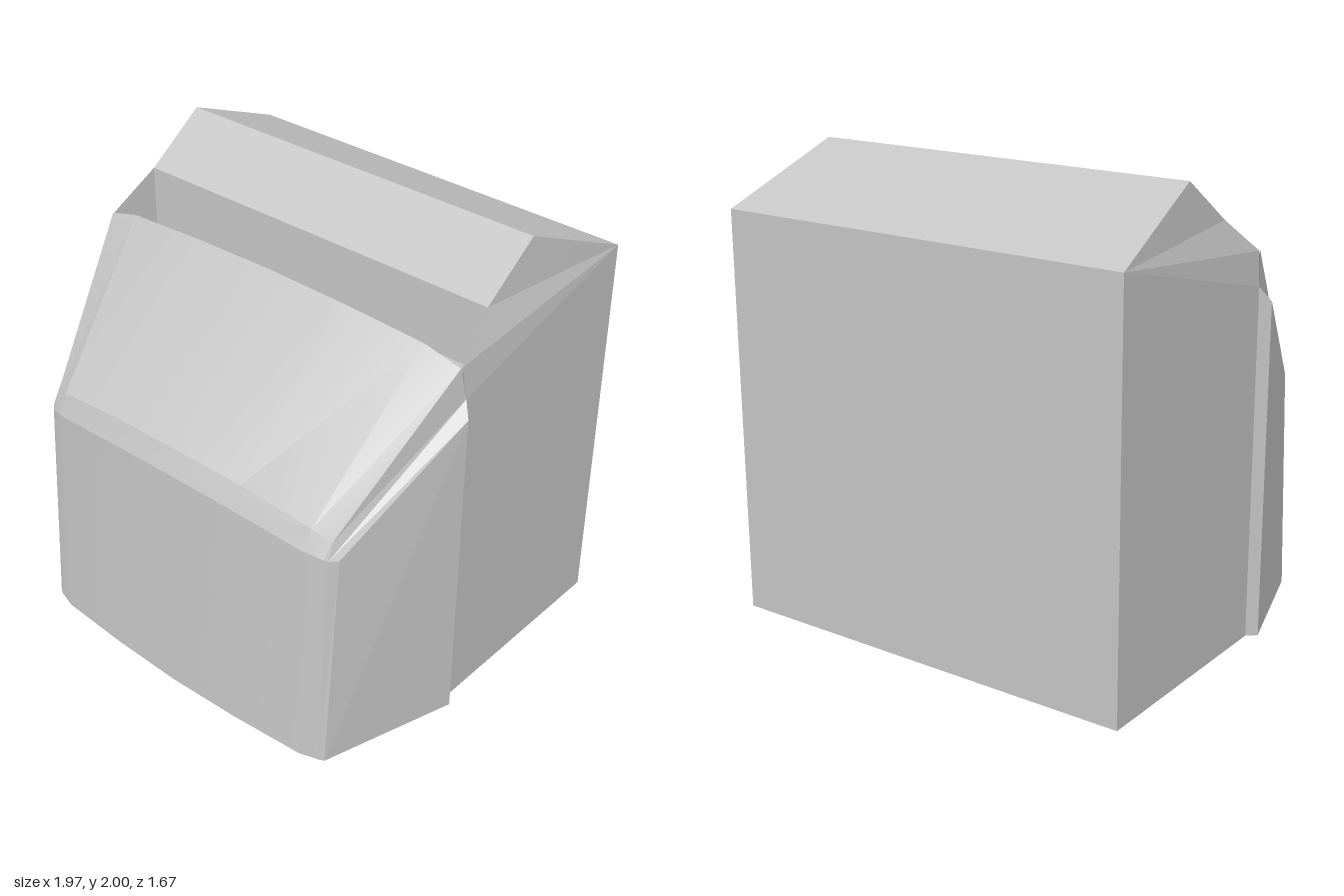
import * as THREE from 'three';
import { toCreasedNormals, mergeVertices } from 'three/addons/utils/BufferGeometryUtils.js';

const grey = new THREE.MeshStandardMaterial({ color: 0xc4c4c4, side: THREE.DoubleSide });
grey.name = 'light grey';

// Turns convex polygons (lists of [x, y, z]) into a surface of triangle fans.
function surface(polygons, crease = 0.05) {
  const positions = [];
  for (const p of polygons)
    for (let i = 1; i < p.length - 1; i++) positions.push(...p[0], ...p[i], ...p[i + 1]);
  let g = new THREE.BufferGeometry();
  g.setAttribute('position', new THREE.Float32BufferAttribute(positions, 3));
  g = mergeVertices(g, 1e-4);
  return toCreasedNormals(g, crease);
}

const mirror = (polygon) => polygon.map(([x, y, z]) => [-x, y, z]).reverse();
const withMirror = (polygons) => [...polygons, ...polygons.map(mirror)];
// Polygon spanning the full width between two edge points.
const across = (a, b) => [a, b, [-b[0], b[1], b[2]], [-a[0], a[1], a[2]]];

export function createModel() {
  const group = new THREE.Group();
  const add = (name, geometry, x = 0, y = 0, z = 0) => {
    const mesh = new THREE.Mesh(geometry, grey);
    mesh.name = name;
    mesh.position.set(x, y, z);
    group.add(mesh);
    return mesh;
  };

  // Key points of the left half
  const backLow = [0.945, 0.015, -0.835], backHigh = [0.945, 1.77, -0.835];
  const ridge = [0.885, 2, -0.305], slotBack = [0.885, 1.81, -0.035];
  const slotFront = [0.93, 1.66, 0.165], seamHigh = [0.945, 1.52, 0.15], seamLow = [0.945, 0.015, 0.15];
  const floorY = 1.5;
  const floorBack = [0.885, floorY, -0.035], floorFront = [0.93, floorY, 0.165];

  // Rear housing, open underneath
  add('rearHousing', surface([
    across(backHigh, backLow),
    across(ridge, backHigh),
    across(slotBack, ridge),
    ...withMirror([
      [backLow, backHigh, seamHigh, seamLow],
      [backHigh, ridge, slotBack],
      [backHigh, slotBack, slotFront],
      [backHigh, slotFront, seamHigh],
    ]),
  ]));

  // Recess between the housing and the front panel
  add('recess', surface([
    across(slotBack, floorBack),
    across(floorBack, floorFront),
    ...withMirror([[slotBack, slotFront, floorFront, floorBack]]),
  ]));

  // Bowed front panel: rows from the bottom to the inner lip, columns from centre to corner
  const rows = [
    [[0, 0, 0.835], [0.35, 0, 0.825], [0.69, 0, 0.802], [0.775, 0, 0.775]],
    [[0, 1.07, 0.8], [0.33, 1.057, 0.79], [0.67, 1.02, 0.762], [0.755, 1.005, 0.735]],
    [[0, 1.165, 0.755], [0.34, 1.155, 0.745], [0.685, 1.11, 0.722], [0.765, 1.07, 0.695]],
    [[0, 1.745, 0.205], [0.38, 1.735, 0.2], [0.77, 1.71, 0.19], [0.93, 1.66, 0.175]],
    [[0, 1.72, 0.183], [0.38, 1.71, 0.18], [0.77, 1.69, 0.172], [0.93, 1.645, 0.165]],
    [[0, floorY, 0.17], [0.38, floorY, 0.17], [0.77, floorY, 0.168], [0.93, floorY, 0.165]],
  ];
  const panel = [];
  for (let r = 0; r < rows.length - 1; r++)
    for (let c = 0; c < 3; c++)
      panel.push([rows[r][c], rows[r][c + 1], rows[r + 1][c + 1], rows[r + 1][c]]);
  add('frontPanel', surface(withMirror(panel), 0.3));

  // Side cheeks with the sloping ledge and the step back to the housing
  const corner = rows.map((row) => row[3]);
  const ledgeLow = [0.77, 1.0, 0.725];
  const cheekBottom = [0.795, 0, 0.765], cheekTop = [0.8, 1.0, 0.695];
  const cheekRear = [0.985, 1.46, 0.185], cheekRearLow = [0.985, 0.015, 0.185];
  add('sideCheeks', surface(withMirror([
    [cheekBottom, cheekRearLow, cheekRear, cheekTop],
    [corner[0], cheekBottom, cheekTop, ledgeLow],
    [corner[0], ledgeLow, corner[1]],
    [cheekRearLow, seamLow, seamHigh, cheekRear],
  ])));
  add('sideLedges', surface(withMirror([
    [ledgeLow, cheekTop, cheekRear, seamHigh],
    [corner[1], ledgeLow, corner[2]],
    [corner[2], ledgeLow, seamHigh, corner[3]],
  ])));

  // Rounded plate lying in the recess
  const plate = new THREE.Shape();
  plate.absarc(0.795, 0, 0.1, -Math.PI / 2, Math.PI / 2);
  plate.absarc(-0.795, 0, 0.1, Math.PI / 2, Math.PI * 1.5);
  const plateGeometry = new THREE.ExtrudeGeometry(plate, { depth: 0.02, bevelEnabled: false, curveSegments: 10 });
  plateGeometry.rotateX(-Math.PI / 2);
  add('recessPlate', plateGeometry, 0, floorY, 0.065);

  // Round caps and eight-sided end bolts on the plate
  for (const x of [-0.59, -0.37])
    add('roundCap', new THREE.CylinderGeometry(0.09, 0.09, 0.01, 32), x, floorY + 0.025, 0.06);
  for (const x of [-0.8, 0.8])
    add('endBolt', toCreasedNormals(new THREE.CylinderGeometry(0.045, 0.055, 0.02, 8), 0.2), x, floorY + 0.03, 0.06);

  return group;
}
